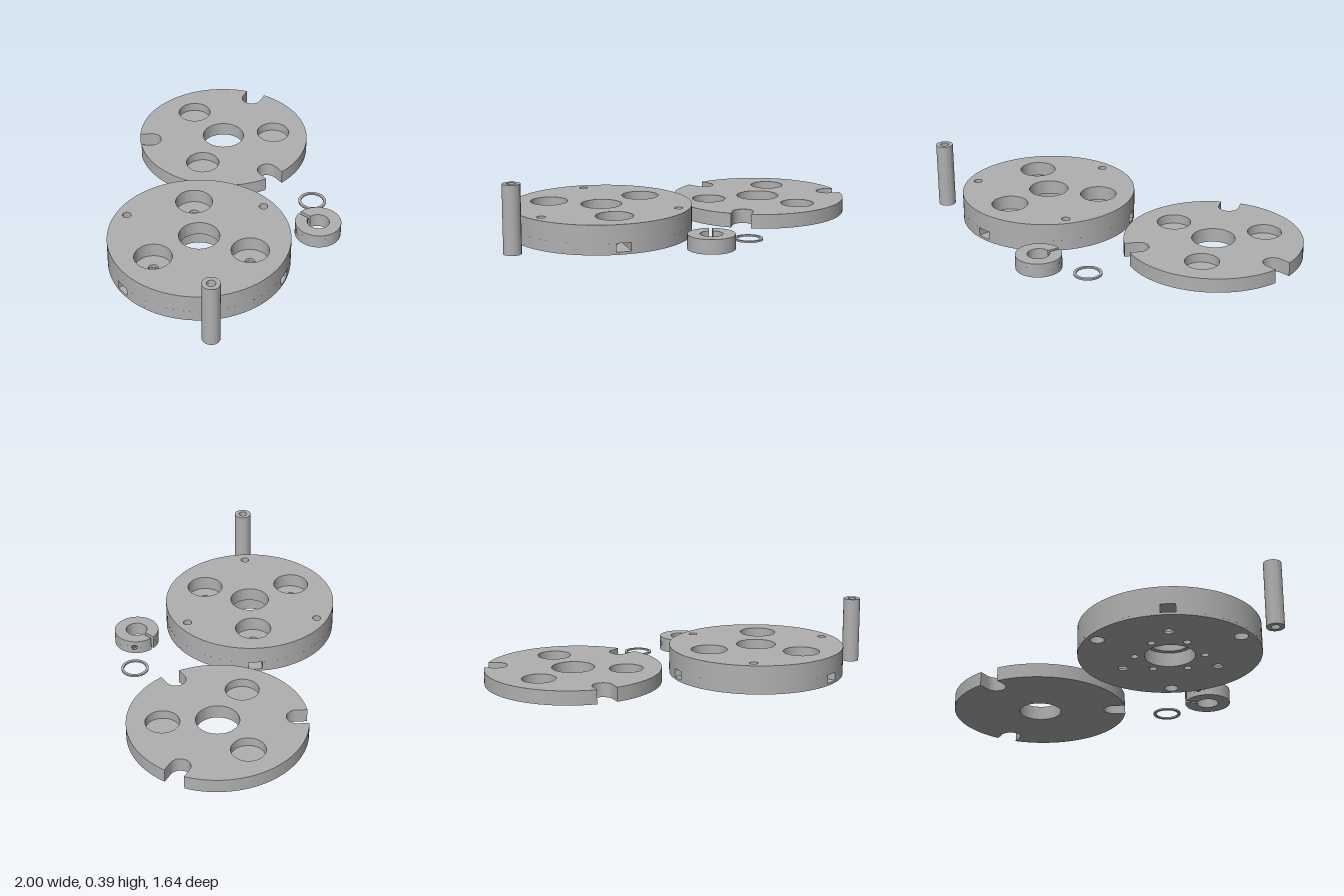
import * as THREE from 'three';
import { toCreasedNormals } from 'three/addons/utils/BufferGeometryUtils.js';

const rad = THREE.MathUtils.degToRad;

// Circular hole path in plan (x, z)
function circle(x, z, r) {
  const p = new THREE.Path();
  p.absarc(x, z, r, 0, Math.PI * 2, true);
  return p;
}

// Hole placed by polar position around the disc centre
const polar = (deg, dist, r) => circle(dist * Math.cos(rad(deg)), dist * Math.sin(rad(deg)), r);

// Points of an arc, both ends included
function arc(r, a0, a1, n) {
  return Array.from({ length: n + 1 }, (_, i) => {
    const a = a0 + (a1 - a0) * i / n;
    return new THREE.Vector2(r * Math.cos(a), r * Math.sin(a));
  });
}

function disc(r) {
  const s = new THREE.Shape();
  s.absarc(0, 0, r, 0, Math.PI * 2, false);
  return s;
}

// Disc outline cut by three radial slots; round gives them a semicircular end
function slottedDisc(r, angles, halfWidth, inner, round) {
  const pts = [];
  const d = Math.asin(halfWidth / r);
  angles.forEach((deg, i) => {
    const a = rad(deg);
    const place = (u, v) => new THREE.Vector2(
      u * Math.cos(a) - v * Math.sin(a), u * Math.sin(a) + v * Math.cos(a));
    if (round) {
      for (let k = 0; k <= 16; k++) {
        const t = Math.PI * (k / 16);
        pts.push(place(inner - halfWidth * Math.sin(t), -halfWidth * Math.cos(t)));
      }
    } else {
      pts.push(place(inner, -halfWidth), place(inner, halfWidth));
    }
    const next = rad(angles[(i + 1) % 3] + (i === 2 ? 360 : 0));
    pts.push(...arc(r, a + d, next - d, 40));
  });
  return new THREE.Shape(pts);
}

export function createModel() {
  const model = new THREE.Group();
  const metal = new THREE.MeshStandardMaterial({ color: 0xb0b0b0 });
  metal.name = 'plain grey';

  function group(name, x, z) {
    const g = new THREE.Group();
    g.name = name;
    g.position.set(x, 0, z);
    model.add(g);
    return g;
  }

  // Extrudes a plan shape between two heights
  function layer(parent, name, shape, holes, y0, y1) {
    shape.holes.push(...holes);
    const flat = new THREE.ExtrudeGeometry(shape, { depth: y1 - y0, bevelEnabled: false, curveSegments: 40 });
    flat.rotateX(Math.PI / 2).translate(0, y1, 0);
    const mesh = new THREE.Mesh(toCreasedNormals(flat, 0.5), metal);
    mesh.name = name;
    parent.add(mesh);
  }

  // Thick disc: pockets above, nut slots in the rim, counterbores below
  const thick = group('thickDisc', -0.475, 0.29);
  const pockets = [-45, 75, 195];
  const rim = [15, 135, 255];
  const pins = [-15, 45, 105, 165, 225, 285];
  const lower = () => [
    circle(0, 0, 0.145),
    ...rim.map(a => polar(a, 0.46, 0.04)),
    ...pins.map(a => polar(a, 0.2, 0.022)),
  ];
  const bolts = () => pockets.map(a => polar(a, 0.316, 0.029));
  layer(thick, 'thickDiscBase', disc(0.525), [...lower(), ...bolts()], 0, 0.015);
  layer(thick, 'thickDiscSlots', slottedDisc(0.525, pockets, 0.0425, 0.275, false), lower(), 0.015, 0.065);
  layer(thick, 'thickDiscPocketFloor', disc(0.525), [...lower(), ...bolts()], 0.065, 0.085);
  layer(thick, 'thickDiscTop', disc(0.525), [
    circle(0, 0, 0.118),
    ...rim.map(a => polar(a, 0.46, 0.025)),
    ...pockets.map(a => polar(a, 0.316, 0.108)),
  ], 0.085, 0.17);

  // Thin disc: three round-ended edge notches and shallow pockets
  const thin = group('thinDisc', 0.475, -0.297);
  const notched = () => slottedDisc(0.525, [-135, -15, 105], 0.061, 0.455, true);
  layer(thin, 'thinDiscBase', notched(), [circle(0, 0, 0.127)], 0, 0.03);
  layer(thin, 'thinDiscTop', notched(),
    [circle(0, 0, 0.127), ...[-75, 45, 165].map(a => polar(a, 0.316, 0.1))], 0.03, 0.085);

  // Split clamp collar with a cross hole through its two ends
  const collar = group('clampCollar', 0.145, 0.68);
  const R = 0.135, r = 0.065, gap = 0.01, holeZ = -0.083, holeR = 0.015, holeY = 0.0425;
  const slitIn = Math.asin(gap / r), slitOut = Math.asin(gap / R), q = Math.PI / 2;
  const ringShape = () => new THREE.Shape([
    ...arc(R, -q + slitOut, 3 * q - slitOut, 64), ...arc(r, 3 * q - slitIn, -q + slitIn, 48)]);
  layer(collar, 'collarBottom', ringShape(), [], 0, holeY - holeR);
  layer(collar, 'collarTop', ringShape(), [], holeY + holeR, 0.085);
  const steps = 6;
  for (let i = 0; i < steps; i++) {
    const t0 = -1 + 2 * i / steps, t1 = -1 + 2 * (i + 1) / steps;
    const half = holeR * Math.sqrt(1 - ((t0 + t1) / 2) ** 2);
    const y0 = holeY + holeR * t0, y1 = holeY + holeR * t1;
    const z1 = holeZ + half, z2 = holeZ - half;
    const a1 = Math.asin(z1 / R), a2 = Math.asin(z2 / R);
    layer(collar, 'collarMiddle', new THREE.Shape([
      ...arc(R, a1, Math.PI - a1, 64), new THREE.Vector2(-gap, z1),
      ...arc(r, 3 * q - slitIn, -q + slitIn, 48), new THREE.Vector2(gap, z1)]), [], y0, y1);
    for (const s of [-1, 1]) {
      const tip = [new THREE.Vector2(gap, z2), ...arc(R, -q + slitOut, a2, 12)];
      layer(collar, s > 0 ? 'leftCollarTip' : 'rightCollarTip',
        new THREE.Shape(tip.map(p => new THREE.Vector2(s * p.x, p.y))), [], y0, y1);
    }
  }

  // Thin washer ring
  layer(group('washer', 0.365, 0.48), 'washerRing', disc(0.083), [circle(0, 0, 0.067)], 0, 0.01);

  // Tall hollow post
  layer(group('post', -0.949, 0.765), 'postTube', disc(0.051), [circle(0, 0, 0.025)], 0, 0.393);

  return model;
}
